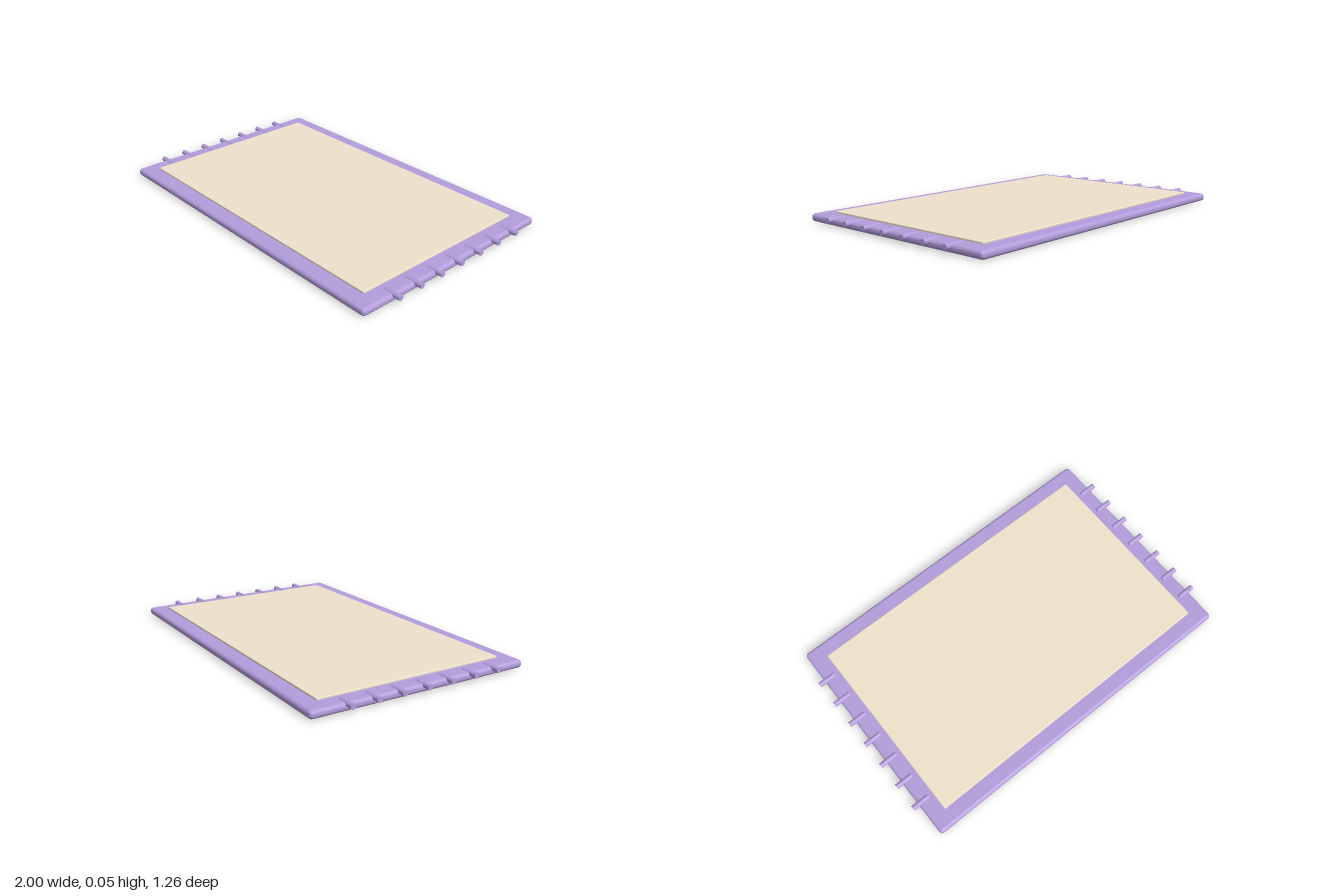
import * as THREE from 'three';
import { RoundedBoxGeometry } from 'three/addons/geometries/RoundedBoxGeometry.js';

export function createModel() {
  const model = new THREE.Group();
  model.name = 'peggedBoard';
  const purple = new THREE.MeshStandardMaterial({ color: 0xb39ddb });
  const cream = new THREE.MeshStandardMaterial({ color: 0xefe2cc });

  const add = (name, geometry, material, x, y, z) => {
    const mesh = new THREE.Mesh(geometry, material);
    mesh.name = name;
    mesh.position.set(x, y, z);
    model.add(mesh);
    return mesh;
  };

  // Base slab with rounded edges
  add('baseSlab', new RoundedBoxGeometry(1.93, 0.043, 1.258, 5, 0.019), purple, 0, 0.0215, 0);

  // Thin raised panel, partly sunk into the slab
  add('topPanel', new RoundedBoxGeometry(1.744, 0.02, 1.08, 3, 0.004), cream, 0, 0.043, 0);

  // Seven round pegs along each short side, half embedded in the slab
  const pegGeometry = new THREE.CylinderGeometry(0.0145, 0.0145, 0.1, 24);
  pegGeometry.rotateZ(Math.PI / 2);
  for (const side of [-1, 1]) {
    for (let i = -3; i <= 3; i++) {
      add(side > 0 ? 'leftPeg' : 'rightPeg', pegGeometry, purple, side * 0.95, 0.036, i * 0.1435);
    }
  }
  return model;
}
